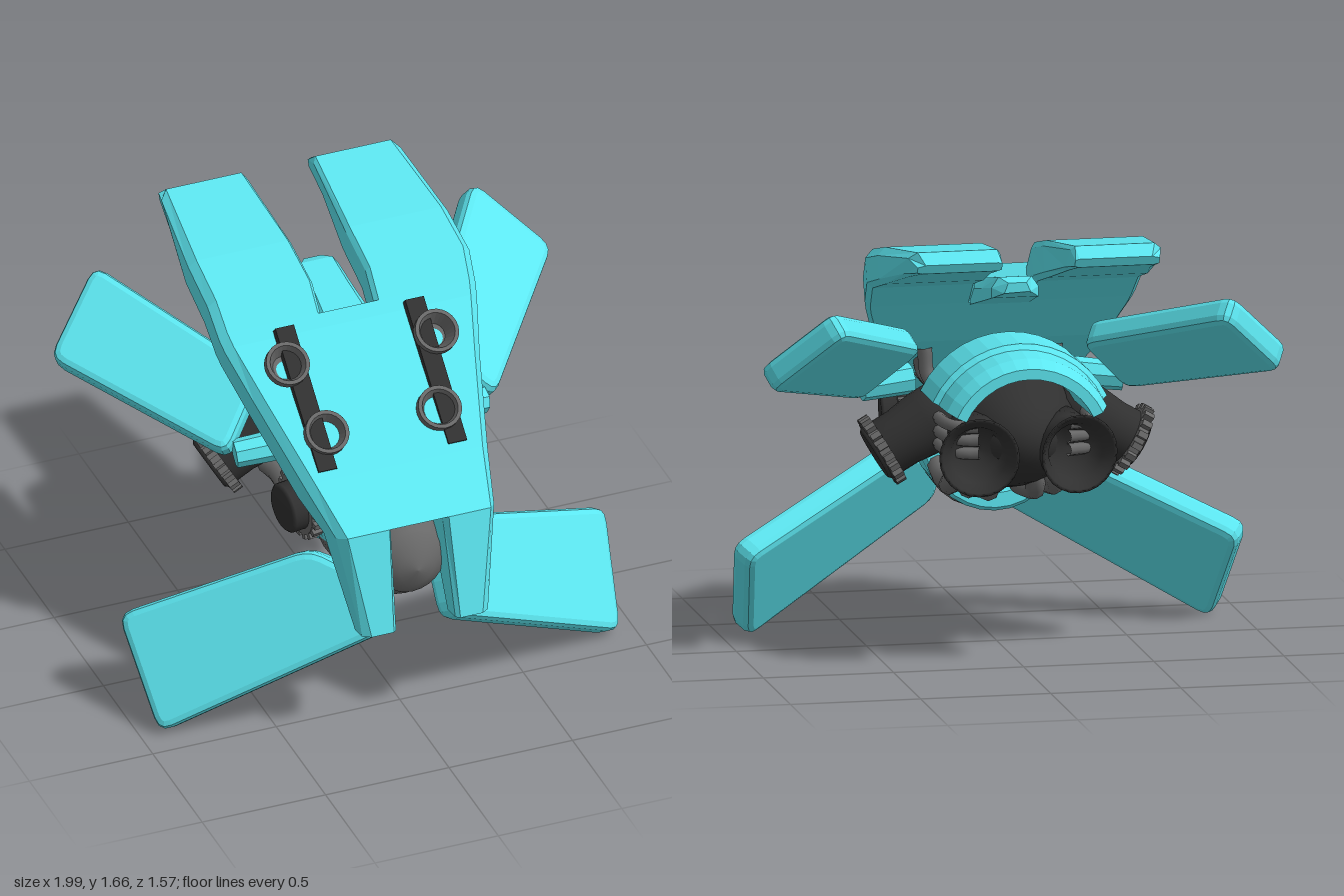
import * as THREE from 'three';

const V = (x, y, z) => new THREE.Vector3(x, y, z);
const mat = (color, flat) => new THREE.MeshStandardMaterial({ color, flatShading: flat, side: THREE.DoubleSide });

// Closed solid through rings of points; winding is set from the signed volume.
function loft(rings) {
  const n = rings[0].length, pts = rings.flat(), tri = [];
  for (let i = 0; i < rings.length - 1; i++)
    for (let j = 0; j < n; j++) {
      const a = i * n + j, b = i * n + (j + 1) % n;
      tri.push([a, b, a + n], [b, b + n, a + n]);
    }
  const last = (rings.length - 1) * n;
  for (let j = 1; j < n - 1; j++) tri.push([0, j + 1, j], [last, last + j, last + j + 1]);
  let vol = 0;
  for (const [a, b, c] of tri) vol += pts[a].dot(pts[b].clone().cross(pts[c]));
  const g = new THREE.BufferGeometry().setFromPoints(pts);
  g.setIndex(tri.flatMap(([a, b, c]) => (vol < 0 ? [a, c, b] : [a, b, c])));
  g.computeVertexNormals();
  return g;
}

// Bevelled slab on corners that lie in one plane (root low, tip low, tip high, root high, ...).
function slab(corners, thick) {
  const [C, A, B] = corners, k = corners.length;
  const u = A.clone().sub(C).normalize();
  const n = u.clone().cross(B.clone().sub(A)).normalize();
  const v = n.clone().cross(u);
  const p = corners.map(c => c.clone().sub(C)).map(c => new THREE.Vector2(c.dot(u), c.dot(v)));
  const s = new THREE.Shape();
  p.forEach((c, i) => {
    const prev = p[(i + k - 1) % k], next = p[(i + 1) % k], r = 0.06;
    const a = c.clone().add(prev.clone().sub(c).setLength(r));
    const b = c.clone().add(next.clone().sub(c).setLength(r));
    i ? s.lineTo(a.x, a.y) : s.moveTo(a.x, a.y);
    s.quadraticCurveTo(c.x, c.y, b.x, b.y);
  });
  s.closePath();
  const bev = 0.028;
  const g = new THREE.ExtrudeGeometry(s, {
    depth: thick - 2 * bev, bevelThickness: bev, bevelSize: bev, bevelOffset: -bev, bevelSegments: 2, curveSegments: 3,
  });
  g.translate(0, 0, bev - thick / 2);
  return g.applyMatrix4(new THREE.Matrix4().makeBasis(u, v, n).setPosition(C));
}

// Lathe whose axis runs along z; profile points are [radius, z].
function latheZ(profile, start = 0, length = Math.PI * 2, seg = 24) {
  return new THREE.LatheGeometry(profile.map(([r, z]) => new THREE.Vector2(r, z)), seg, start, length).rotateX(Math.PI / 2);
}

const tube = (pts, r) => new THREE.TubeGeometry(new THREE.CatmullRomCurve3(pts), 14, r, 8);

export function createModel() {
  const root = new THREE.Group();
  const teal = mat(0x5ce6f0, true), black = mat(0x303030, false), grey = mat(0x686868, false), greyFlat = mat(0x686868, true);
  const add = (name, geo, material, parent = root) => {
    const m = new THREE.Mesh(geo, material);
    m.name = name;
    parent.add(m);
    return m;
  };
  // Place a group so its local +z points along dir.
  const aimed = (name, pos, dir) => {
    const g = new THREE.Group();
    g.name = name;
    g.position.copy(pos);
    g.quaternion.setFromUnitVectors(V(0, 0, 1), dir.normalize());
    root.add(g);
    return g;
  };

  // Shield stations: outer z, y, inner z, y, inner x, outer x; prong tip to rear arm tip
  const stations = [
    [0.78, 0.50, 0.67, 0.48, 0.12, 0.255], [0.70, 0.91, 0.50, 0.83, 0.105, 0.32],
    [0.70, 0.91, 0.50, 0.83, 0, 0.32], [0.49, 1.045, 0.38, 0.91, 0, 0.37],
    [0.20, 1.26, 0.08, 1.135, 0, 0.455], [0.02, 1.405, -0.04, 1.275, 0, 0.51],
    [-0.02, 1.445, -0.07, 1.31, 0, 0.52], [-0.02, 1.445, -0.07, 1.31, 0.108, 0.52],
    [-0.11, 1.54, -0.16, 1.40, 0.108, 0.53], [-0.32, 1.59, -0.36, 1.455, 0.11, 0.525],
    [-0.73, 1.65, -0.60, 1.53, 0.135, 0.485], [-0.785, 1.61, -0.77, 1.575, 0.14, 0.465],
  ];
  // Short ridged tail between the arms: z, top y, bottom y, half width
  const tail = [[0.05, 1.38, 1.24, 0.13], [-0.06, 1.40, 1.30, 0.115], [-0.2, 1.43, 1.34, 0.1], [-0.34, 1.46, 1.38, 0.09], [-0.385, 1.445, 1.41, 0.05]];
  add('tailFin', loft(tail.map(([z, t, b, w]) =>
    [V(-w, b, z), V(-w, t - 0.04, z), V(-w * 0.7, t, z), V(w * 0.7, t, z), V(w, t - 0.04, z), V(w, b, z)])), teal);

  // Engine core, nose and rear hood
  add('engineCore', new THREE.SphereGeometry(1, 28, 18).scale(0.27, 0.24, 0.46).translate(0, 0.86, -0.1), black);
  const nose = [[0, 0.69], [0.07, 0.675], [0.13, 0.63], [0.135, 0.615], [0.18, 0.56], [0.185, 0.545], [0.215, 0.46],
    [0.218, 0.445], [0.232, 0.34], [0.235, 0.24], [0.22, 0.14], [0.19, 0.08], [0, 0.08]];
  add('nose', latheZ(nose).translate(0, 0.69, 0), grey);
  const hood = [[0.27, -0.62], [0.31, -0.62], [0.34, -0.56], [0.35, -0.45], [0.37, -0.43], [0.37, -0.2], [0.33, -0.08], [0.26, -0.08], [0.27, -0.62]];
  add('rearHood', latheZ(hood, Math.PI - 1.13, 2.26, 14).translate(0, 0.85, 0), teal);

  // Lower collar, cut back towards its underside
  const collarProfile = [[0.25, 0.03], [0.305, 0.03], [0.32, 0.07], [0.32, 0.3], [0.3, 0.36], [0.285, 0.49], [0.25, 0.54], [0.22, 0.54], [0.25, 0.03]];
  const collar = latheZ(collarProfile, -1.57, 3.14, 16);
  const cp = collar.attributes.position;
  for (let i = 0; i < cp.count; i++) cp.setZ(i, cp.getZ(i) * (1 + 1.7 * cp.getY(i)));
  collar.scale(0.92, 1, 1).translate(0, 0.805, 0).computeVertexNormals();
  add('lowerCollar', collar, teal);

  for (const s of [1, -1]) {
    const side = s > 0 ? 'left' : 'right';
    const P = (x, y, z) => V(s * x, y, z);

    // Half shield with prong and rear arm
    add(side + 'Shield', loft(stations.map(([zo, yo, zi, yi, a, b]) => {
      const e = a ? 0.015 : 0;
      return [[a + e, 0], [b - 0.03, 0], [b, 0.22], [b, 0.85], [b - 0.02, 1], [a + e, 1], [a, 0.85], [a, 0.15]]
        .map(([x, t]) => P(x, yo + (yi - yo) * t, zo + (zi - zo) * t));
    })), teal);

    // Fins and the upper fin's root joint
    add(side + 'UpperFin', slab([P(0.53, 0.96, 0.09), P(1.005, 1.135, -0.525), P(0.75, 1.385, -0.705), P(0.33, 1.2, -0.06)], 0.11), teal);
    add(side + 'LowerFin', slab([P(0.125, 0.435, 0.67), P(0.915, -0.012, 0.37), P(0.967, 0.36, 0.08), P(0.295, 0.665, 0.36), P(0.118, 0.6, 0.555)], 0.105), teal);
    const joint = aimed(side + 'FinJoint', P(0.405, 0.98, 0.1), P(1, -0.1, -0.15));
    add('joint', new THREE.CylinderGeometry(0.055, 0.06, 0.2, 8).rotateX(Math.PI / 2), teal, joint);

    // Rail with two open cups on the shield face; cup origin is the rim centre
    const slope = V(0, 0.76, 0.65);
    const rail = aimed(side + 'Rail', V(s * 0.263 - 0.013, 1.235, 0.222), slope.clone());
    add('railBar', new THREE.BoxGeometry(0.075, 0.58, 0.07), black, rail);
    const cup = [[0, -0.065], [0.045, -0.06], [0.07, 0], [0.085, 0], [0.085, -0.035], [0.072, -0.045], [0.066, -0.1], [0, -0.1]];
    for (const [x, y, z] of [[0.302, 1.375, 0.155], [0.228, 1.18, 0.37]]) {
      const c = aimed(side + 'Cup', V(s * x - 0.012, y, z), slope.clone());
      add('cup', latheZ(cup), greyFlat, c);
    }

    // Pods with toothed rings: name, ring centre, axis, length, radius, tip reach
    const pods = [
      ['FrontPod', P(0.315, 0.815, 0.27), P(0.98, -0.05, 0.12), 0.2, 0.098, 0.075],
      ['RearPod', P(0.485, 0.775, -0.17), P(0.86, -0.5, 0), 0.34, 0.112, 0.025],
    ];
    for (const [name, pos, dir, len, r, tip] of pods) {
      const pod = aimed(side + name, pos, dir);
      add('barrel', latheZ([[0, tip], [r - 0.012, tip], [r, tip - 0.012], [r, -0.1], [r * 1.12, -len * 0.6], [r * 1.12, -len], [0, -len]]), black, pod);
      add('ring', latheZ([[r, -0.03], [0.122, -0.03], [0.122, 0.012], [r, 0.012], [r, -0.03]]), greyFlat, pod);
      for (let i = 0; i < 18; i++) {
        const tooth = new THREE.BoxGeometry(0.024, 0.022, 0.04).translate(0, 0.132, -0.01).rotateZ(i * Math.PI / 9);
        add('tooth', tooth, grey, pod);
      }
    }

    // Rear exhaust bell
    const bell = aimed(side + 'Exhaust', P(0.19, 0.825, -0.595), P(0.15, -0.04, -1));
    add('bell', latheZ([[0, -0.26], [0.13, -0.25], [0.125, -0.1], [0.133, -0.03], [0.152, 0.015], [0.139, 0.015], [0.108, -0.03], [0.085, -0.1], [0, -0.11]]), black, bell);

    // Stacked side pipes, looping lower pipes and upper struts
    for (let i = 0; i < 3; i++) {
      const y = 0.92 - i * 0.05;
      add(side + 'SidePipe', tube([P(0.2, y, -0.12), P(0.27, y, -0.22), P(0.28, y, -0.36), P(0.25, y, -0.47), P(0.17, y, -0.5)], 0.024), grey);
      const x = 0.22 - i * 0.075, d = i * 0.015;
      add(side + 'LowerPipe', tube([P(x, 0.68 - d, 0.06), P(x, 0.645 - d, -0.04), P(x, 0.65 - d, -0.2), P(x + 0.02, 0.66 - d, -0.28), P(x, 0.7, -0.33), P(x - 0.03, 0.77, -0.28)], 0.04), grey);
      add(side + 'Strut', tube([P(0.18, 0.92, 0.05 + i * 0.1), P(0.24, 1.0, 0.12 + i * 0.1), P(0.25, 1.1, 0.13 + i * 0.06)], 0.03), grey);
    }
  }
  return root;
}
